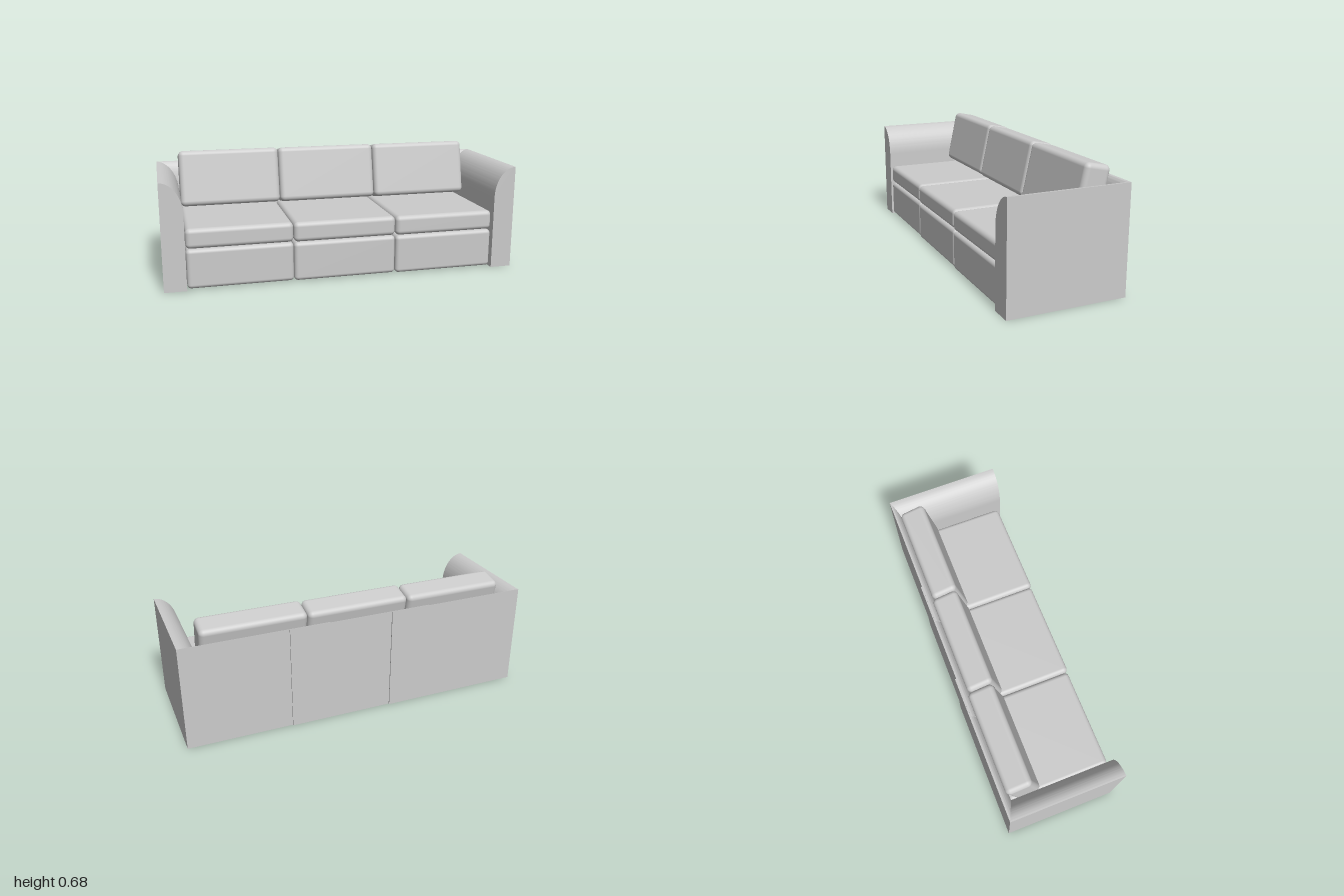
import * as THREE from 'three';
import { RoundedBoxGeometry } from 'three/addons/geometries/RoundedBoxGeometry.js';
import { toCreasedNormals } from 'three/addons/utils/BufferGeometryUtils.js';

const material = new THREE.MeshStandardMaterial({ color: 0xcccccc });
const HEIGHT = 0.595;  // top of arms and back
const SHOULDER = 0.42; // where the rounded inner face becomes vertical

// Upright slab: vertical outer face at 0, rounded inner shoulder at +thickness
function slabGeometry(thickness, length) {
  const shape = new THREE.Shape();
  shape.moveTo(0, 0);
  shape.lineTo(thickness, 0);
  shape.lineTo(thickness, SHOULDER);
  shape.absellipse(0, SHOULDER, thickness, HEIGHT - SHOULDER, 0, Math.PI / 2, false, 0);
  shape.lineTo(0, 0);
  const geometry = new THREE.ExtrudeGeometry(shape, { depth: length, bevelEnabled: false, curveSegments: 16 });
  geometry.translate(0, 0, -length / 2);
  return toCreasedNormals(geometry, 0.5);
}

function addMesh(parent, name, geometry, x, y, z) {
  const mesh = new THREE.Mesh(geometry, material);
  mesh.name = name;
  mesh.position.set(x, y, z);
  parent.add(mesh);
  return mesh;
}

export function createModel() {
  const sofa = new THREE.Group();
  sofa.name = 'sofa';

  const cushionWidth = 0.583;
  const baseGeometry = new RoundedBoxGeometry(cushionWidth, 0.219, 0.595, 5, 0.022);
  const seatGeometry = new RoundedBoxGeometry(cushionWidth, 0.111, 0.595, 5, 0.026);
  const backCushionGeometry = new RoundedBoxGeometry(cushionWidth, 0.322, 0.148, 5, 0.028);
  const panelGeometry = slabGeometry(0.055, 0.82);

  // Three modules, each set a little further forward than the last
  for (const i of [-1, 0, 1]) {
    const module = new THREE.Group();
    module.name = ['rightModule', 'middleModule', 'leftModule'][i + 1];
    module.position.z = i * 0.007;
    sofa.add(module);

    const x = i * 0.584;
    addMesh(module, 'baseCushion', baseGeometry, x, 0.1145, 0.016);
    addMesh(module, 'seatCushion', seatGeometry, x, 0.2825, 0.016);
    const backCushion = addMesh(module, 'backCushion', backCushionGeometry, x, 0.508, -0.199);
    backCushion.rotation.x = -0.21;

    // Back panels are wider than the cushions and overlap behind them
    const panel = addMesh(module, 'backPanel', panelGeometry, i * 0.59, 0, -0.331);
    panel.rotation.y = -Math.PI / 2;
  }

  // Arms, with the rounded shoulder facing the seat
  addMesh(sofa, 'rightArm', slabGeometry(0.122, 0.651), -1, 0, -0.0125);
  const leftArm = addMesh(sofa, 'leftArm', slabGeometry(0.122, 0.662), 1, 0, 0.007);
  leftArm.rotation.y = Math.PI;

  return sofa;
}
